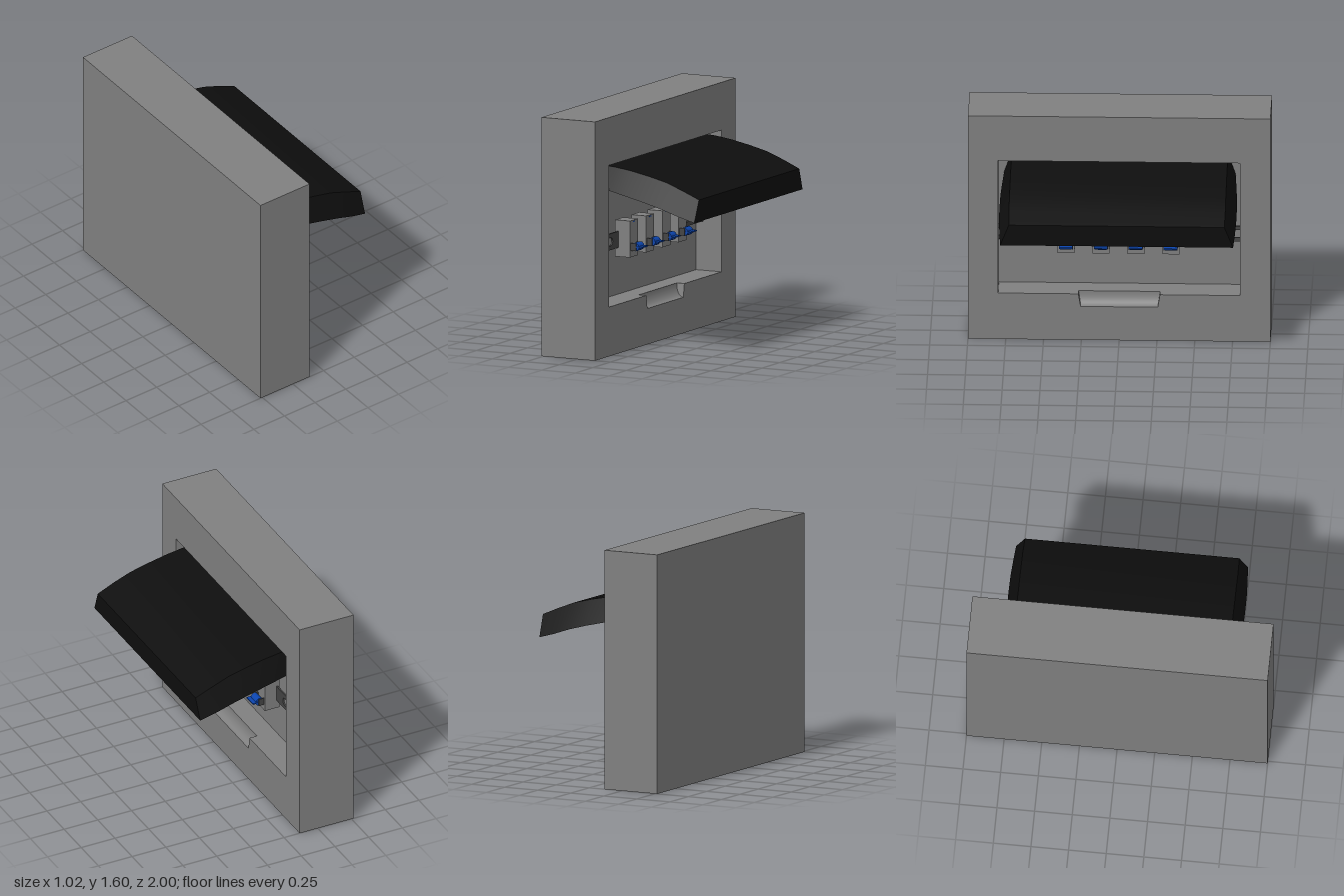
import * as THREE from 'three';
import { toCreasedNormals } from 'three/addons/utils/BufferGeometryUtils.js';

const material = (name, color, side = THREE.FrontSide) => {
  const m = new THREE.MeshStandardMaterial({ color, side });
  m.name = name;
  return m;
};

const FRONT = -0.115, SCOOP = -0.17, PANEL = -0.305, BACK = -0.515;

export function createModel() {
  const grey = material('housing grey', 0x808080, THREE.DoubleSide);
  const dark = material('rail grey', 0x444444);
  const black = material('cover black', 0x0e0e0e, THREE.DoubleSide);
  const blue = material('switch blue', 0x0b45b0);
  const model = new THREE.Group();
  model.name = 'breakerBox';

  const add = (parent, name, geometry, mat, x = 0, y = 0, z = 0) => {
    const mesh = new THREE.Mesh(geometry, mat);
    mesh.name = name;
    mesh.position.set(x, y, z);
    parent.add(mesh);
    return mesh;
  };
  const box = (parent, name, mat, x0, x1, y0, y1, z, width) =>
    add(parent, name, new THREE.BoxGeometry(x1 - x0, y1 - y0, width), mat, (x0 + x1) / 2, (y0 + y1) / 2, z);
  const outline = points => points.map(p => new THREE.Vector2(...p));
  // Extrudes a side-facing outline from x0 to x1
  const slab = (name, mat, points, holes, x0, x1) => {
    const shape = new THREE.Shape(outline(points));
    shape.holes = holes;
    const g = new THREE.ExtrudeGeometry(shape, { depth: x1 - x0, bevelEnabled: false, curveSegments: 8 });
    add(model, name, g.rotateY(Math.PI / 2), mat, x0);
  };

  // Housing: solid back, recessed rim and a front rim with a finger notch
  const outer = [[-1, 0], [1, 0], [1, 1.6], [-1, 1.6]];
  const opening = [[0.8, 0.33], [0.8, 1.28], [-0.8, 1.28], [-0.8, 0.33]];
  const notch = [[-0.27, 0.33], [-0.255, 0.24], [0.255, 0.24], [0.27, 0.33]];
  box(model, 'housingBack', grey, BACK, PANEL, 0, 1.6, 0, 2);
  slab('housingRim', grey, outer, [new THREE.Path(outline(opening))], PANEL, SCOOP);
  slab('frontRim', grey, outer, [new THREE.Path(outline([...opening, ...notch]))], SCOOP, FRONT);

  // Curved finger scoop filling the notch
  const scoop = new THREE.PlaneGeometry(1, 1, 1, 10);
  const sp = scoop.attributes.position;
  for (let i = 0; i < sp.count; i++) {
    const t = sp.getY(i) + 0.5, side = -2 * sp.getX(i), a = t * Math.PI / 2;
    sp.setXYZ(i, FRONT + (SCOOP - FRONT) * Math.sin(a), 0.24 + 0.09 * (1 - Math.cos(a)),
      side * (0.255 + 0.015 * (1 - Math.cos(a))));
  }
  scoop.computeVertexNormals();
  add(model, 'fingerScoop', scoop, grey);

  // Mounting rail with rounded slots, the end ones cut open
  const slot = c => {
    const p = new THREE.Path();
    p.absarc(c + 0.033, 0.715, 0.027, -Math.PI / 2, Math.PI / 2, false);
    p.absarc(c - 0.033, 0.715, 0.027, Math.PI / 2, Math.PI * 1.5, false);
    return p;
  };
  const slots = [-0.55, -0.33, -0.11, 0.11, 0.33, 0.55].map(slot);
  const endCut = s => [[s * 0.8, 0.688], [s * 0.743, 0.688], [s * 0.722, 0.697], [s * 0.713, 0.715],
    [s * 0.722, 0.733], [s * 0.743, 0.742], [s * 0.8, 0.742]];
  slab('mountingRail', dark, [[-0.8, 0.66], [0.8, 0.66], ...endCut(1), [0.8, 0.77],
    [-0.8, 0.77], ...endCut(-1).reverse()], slots, -0.262, -0.25);

  // Row of four breakers with switches
  for (let i = 0; i < 4; i++) {
    const breaker = new THREE.Group();
    breaker.name = 'breaker';
    breaker.position.z = 0.353 - i * 0.231;
    model.add(breaker);
    box(breaker, 'breakerBody', grey, -0.275, -0.165, 0.6, 0.845, 0, 0.112);
    box(breaker, 'indicator', blue, -0.166, -0.163, 0.832, 0.838, 0, 0.03);
    const hub = new THREE.CylinderGeometry(0.028, 0.028, 0.076, 16).rotateX(Math.PI / 2);
    add(breaker, 'switchHub', hub, blue, -0.135, 0.67, 0);
    box(breaker, 'switchLever', blue, -0.135, -0.082, 0.666, 0.675, 0, 0.09);
    for (const s of [-1, 1]) box(breaker, 'switchBracket', dark, -0.166, -0.125, 0.645, 0.695, s * 0.043, 0.006);
  }

  // Raised hollow cover: [x, top height, rim height, rim half width, top half width]
  const stations = [
    [-0.3, 1.268, 1.125, 0.765, 0.715], [-0.115, 1.256, 1.102, 0.776, 0.715],
    [0, 1.24, 1.077, 0.782, 0.715], [0.14, 1.212, 1.045, 0.785, 0.715],
    [0.27, 1.18, 1.01, 0.784, 0.715], [0.39, 1.134, 0.969, 0.778, 0.715],
    [0.51, 1.083, 0.936, 0.77, 0.712]];
  const rings = stations.map(([x, top, rim, w, t], i) => {
    const rimX = i === stations.length - 1 ? x - 0.005 : x;
    return [[rimX, rim, w], [x, top, t], [x, top, -t], [rimX, rim, -w]];
  });
  const v = [];
  const quad = (a, b, c, d) => v.push(...a, ...b, ...c, ...a, ...c, ...d);
  for (let i = 0; i + 1 < rings.length; i++) {
    for (let k = 0; k < 3; k++) quad(rings[i][k], rings[i + 1][k], rings[i + 1][k + 1], rings[i][k + 1]);
  }
  quad(...rings[rings.length - 1]);
  quad(...[...rings[0]].reverse());
  const cover = new THREE.BufferGeometry();
  cover.setAttribute('position', new THREE.Float32BufferAttribute(v, 3));
  add(model, 'raisedCover', toCreasedNormals(cover, 0.5), black);

  return model;
}
